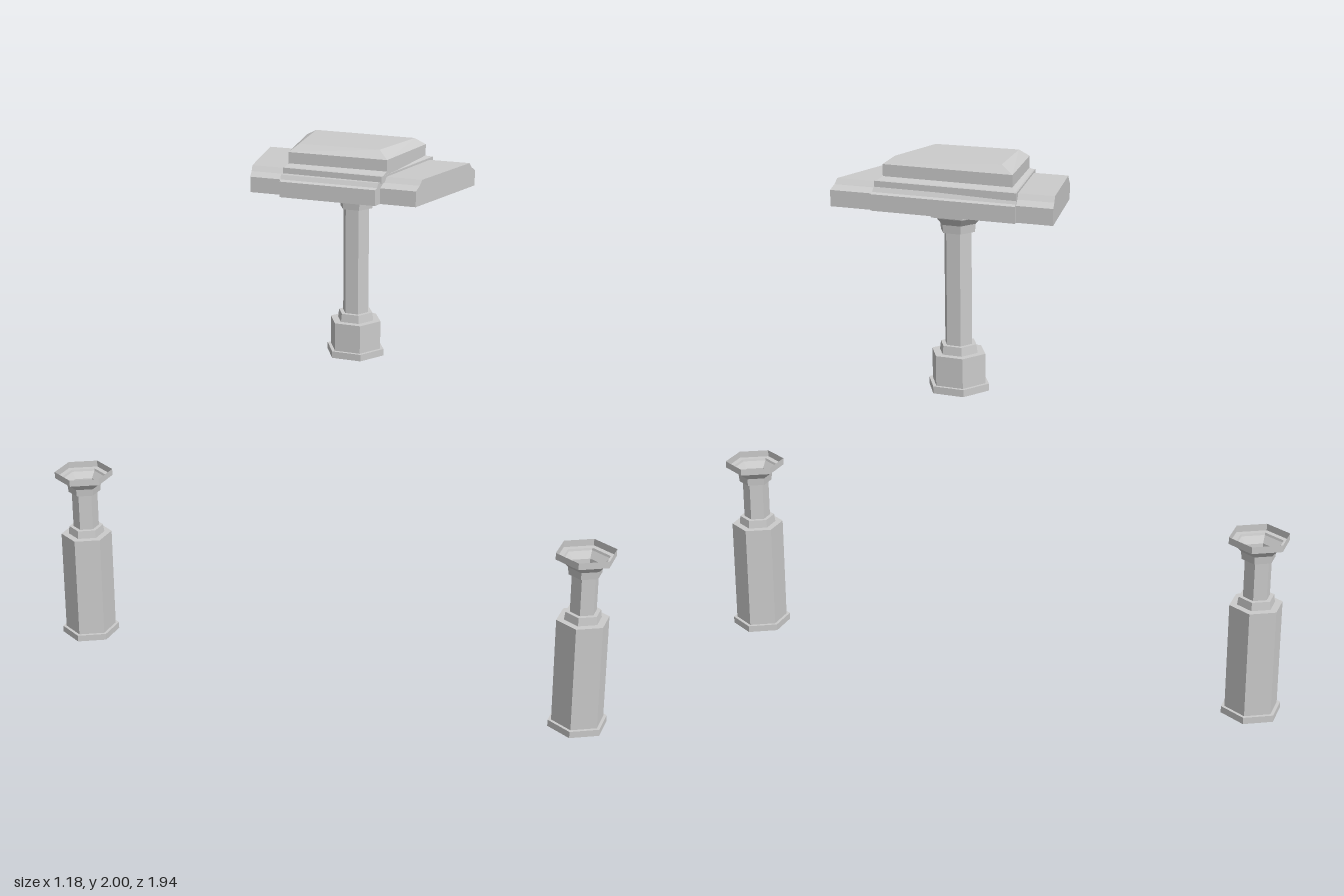
import * as THREE from 'three';

const material = new THREE.MeshStandardMaterial({ color: 0xcccccc, flatShading: true, side: THREE.DoubleSide });

// Six-sided open shell turned from a profile of [radius, height] points
function hexShell(name, profile, x, z, turn = 0) {
  const points = profile.map(([r, y]) => new THREE.Vector2(r, y));
  const mesh = new THREE.Mesh(new THREE.LatheGeometry(points, 6).toNonIndexed(), material);
  mesh.geometry.computeVertexNormals();
  mesh.name = name;
  mesh.position.set(x, 0, z);
  mesh.rotation.y = turn;
  return mesh;
}

// Closed solid through four-cornered rings; each ring is [height, corners]
// with corners [x, z] in the order back, left, front, right
function quadLoft(name, rings) {
  const pos = [];
  const at = (i, k) => {
    const [y, corners] = rings[i];
    const [x, z] = corners[k % 4];
    return [x, y, z];
  };
  const quad = (a, b, c, d) => pos.push(...a, ...b, ...c, ...a, ...c, ...d);
  for (let i = 0; i < rings.length - 1; i++) {
    for (let k = 0; k < 4; k++) quad(at(i, k), at(i, k + 1), at(i + 1, k + 1), at(i + 1, k));
  }
  const top = rings.length - 1;
  quad(at(top, 0), at(top, 1), at(top, 2), at(top, 3));
  quad(at(0, 3), at(0, 2), at(0, 1), at(0, 0));
  const geometry = new THREE.BufferGeometry();
  geometry.setAttribute('position', new THREE.Float32BufferAttribute(pos, 3));
  geometry.computeVertexNormals();
  const mesh = new THREE.Mesh(geometry, material);
  mesh.name = name;
  return mesh;
}

// Draw the two long sides towards each other along the slanted ends
function narrow([a, b, c, d], t) {
  const mix = (p, q) => [p[0] + (q[0] - p[0]) * t, p[1] + (q[1] - p[1]) * t];
  return [mix(a, b), mix(b, a), mix(c, d), mix(d, c)];
}

// Base, block, neck, shaft and flared capital of one column
function columnProfile(bottom, blockTop, shaftTop) {
  return [
    [0.11, bottom], [0.11, bottom + 0.025], [0.097, bottom + 0.025], [0.097, blockTop],
    [0.069, blockTop], [0.065, blockTop + 0.03], [0.049, blockTop + 0.03],
    [0.049, shaftTop], [0.061, shaftTop], [0.064, shaftTop + 0.028],
    [0.085, shaftTop + 0.052], [0.088, shaftTop + 0.06], [0.11, shaftTop + 0.06], [0.11, shaftTop + 0.085],
  ];
}

export function createModel() {
  const model = new THREE.Group();
  model.name = 'columnsAndPlatform';

  // Two free-standing pillars
  const pillar = columnProfile(0, 0.425, 0.6);
  model.add(hexShell('backPillar', pillar, -0.495, -0.858));
  model.add(hexShell('frontPillar', pillar, 0.493, 0.858));

  // Raised column under the platform
  model.add(hexShell('raisedColumn', columnProfile(1.2, 1.33, 1.75), 0.262, -0.135, Math.PI / 6));

  const platform = new THREE.Group();
  platform.name = 'platform';
  model.add(platform);

  // Slab with moulded long sides
  const slab = [[0.187, -0.533], [-0.1, -0.282], [0.213, 0.243], [0.587, 0.133]];
  platform.add(quadLoft('slab', [
    [1.83, slab], [1.885, slab], [1.9, narrow(slab, 0.06)], [1.918, narrow(slab, 0.1)],
  ]));

  // Stepped band, standing slightly proud of the long sides
  const band = [[0.264, -0.436], [-0.064, -0.159], [0.115, 0.144], [0.52, 0]];
  const step = [[0.25, -0.425], [-0.03, -0.185], [0.15, 0.135], [0.497, 0.008]];
  platform.add(quadLoft('band', [
    [1.83, band], [1.885, band], [1.89, narrow(band, 0.03)], [1.905, narrow(band, 0.05)],
  ]));
  platform.add(quadLoft('step', [[1.9, step], [1.925, step]]));

  // Bevelled cap
  const cap = [[0.233, -0.385], [0, -0.19], [0.187, 0.12], [0.46, 0.01]];
  const capTop = [[0.233, -0.33], [0.04, -0.183], [0.2, 0.065], [0.42, -0.005]];
  platform.add(quadLoft('cap', [[1.92, step], [1.935, cap], [1.975, cap], [2, capTop]]));

  return model;
}
